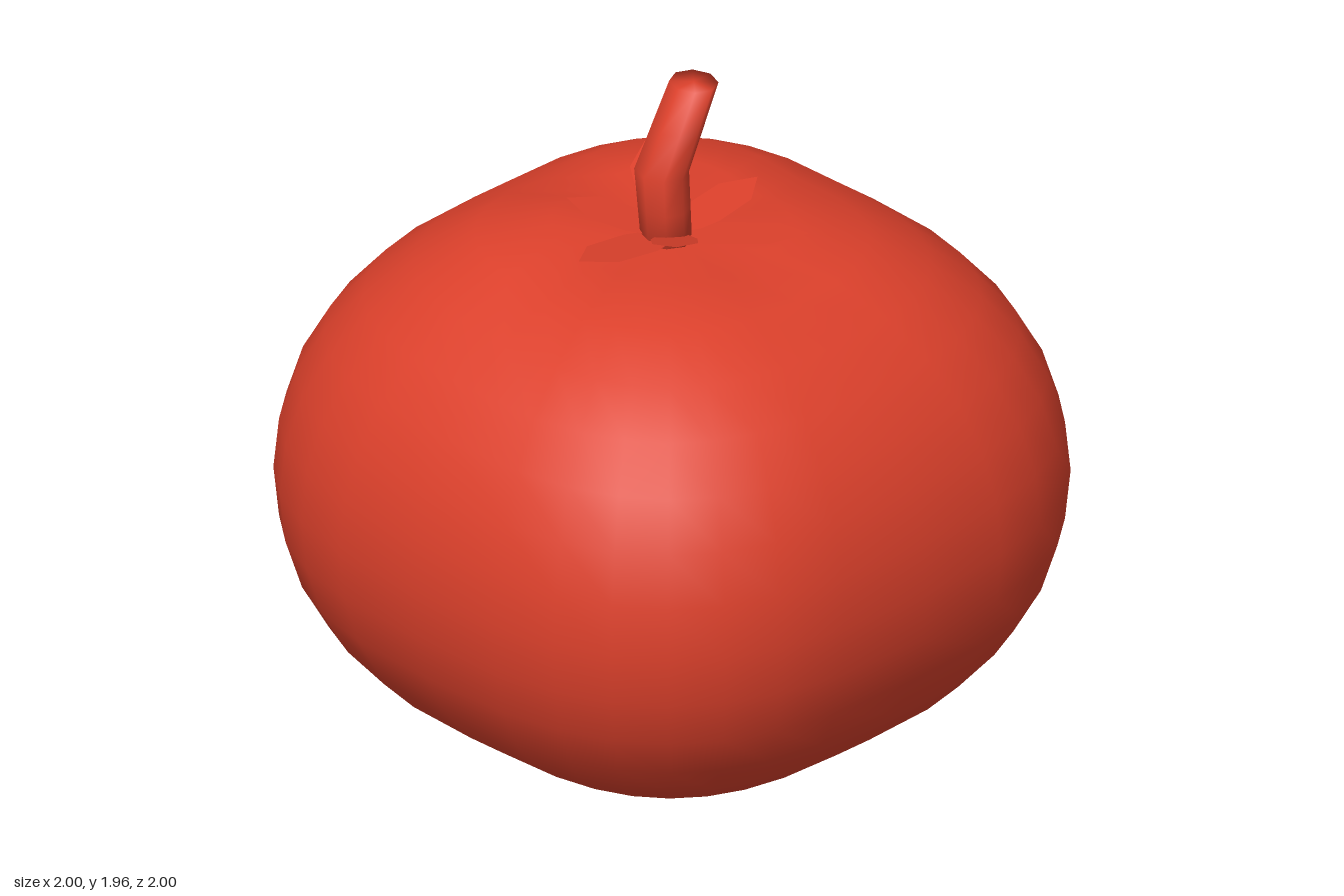
import * as THREE from 'three';
import { mergeVertices } from 'three/addons/utils/BufferGeometryUtils.js';

const red = new THREE.MeshStandardMaterial({ color: 0xdb402b });
const redThin = new THREE.MeshStandardMaterial({ color: 0xdb402b, side: THREE.DoubleSide });

function part(name, geometry, material = red) {
  const mesh = new THREE.Mesh(geometry, material);
  mesh.name = name;
  return mesh;
}

// Join all seams so that the shading runs smoothly over the whole part
function weld(geo) {
  geo.deleteAttribute('uv');
  geo.deleteAttribute('normal');
  return mergeVertices(geo, 1e-4);
}

// Squarish fruit: a squat sphere bulged towards its diagonals, dimpled on top
function fruitGeometry() {
  const geo = weld(new THREE.SphereGeometry(1, 32, 16));
  const pos = geo.attributes.position;
  const bulge = (v) => Math.sign(v) * Math.abs(v) ** 0.73;
  for (let i = 0; i < pos.count; i++) {
    const x = bulge(pos.getX(i)), z = bulge(pos.getZ(i));
    let y = 0.78 + 0.775 * pos.getY(i);
    const r = Math.hypot(x, z);
    if (pos.getY(i) > 0) {
      // Shoulders on the diagonals, slightly higher at the back
      const lobe = Math.abs(2 * x * z) / (r * r + 1e-4);
      y += (0.028 - 0.012 * Math.sign(z)) * lobe * Math.exp(-(((r - 0.42) / 0.2) ** 2));
      y -= 0.05 * Math.exp(-((r / 0.2) ** 2));
    }
    pos.setXYZ(i, x, y, z);
  }
  geo.computeVertexNormals();
  return geo;
}

// Bent stem with level ends
function stemGeometry() {
  const geo = weld(new THREE.CylinderGeometry(0.075, 0.075, 0.46, 8, 4));
  const pos = geo.attributes.position;
  for (let i = 0; i < pos.count; i++) {
    const y = pos.getY(i);
    const bend = y < 0 ? -0.04 - 0.08 * y : -0.04 + 0.54 * y;
    const squash = y > 0 ? 0.92 - 0.3 * y : 0.92;
    pos.setXYZ(i, pos.getX(i) * squash + bend, y + 1.735, pos.getZ(i) * (1.1 - 0.6 * Math.abs(y)));
  }
  geo.computeVertexNormals();
  return geo;
}

// Pointed sepal, rising from the stem foot to the given tip height
function sepalGeometry(degrees, length, tipY) {
  const shape = new THREE.Shape([
    [0.03, -0.04], [0.12, -0.065], [length * 0.74, -0.063], [length, 0],
    [length * 0.74, 0.063], [0.12, 0.065], [0.03, 0.04],
  ].map(([x, y]) => new THREE.Vector2(x, y)));
  const geo = new THREE.ShapeGeometry(shape);
  geo.rotateX(-Math.PI / 2);
  const pos = geo.attributes.position;
  for (let i = 0; i < pos.count; i++) {
    pos.setY(i, 1.52 + (tipY - 1.52) * pos.getX(i) / length);
  }
  geo.computeVertexNormals();
  geo.rotateY(-THREE.MathUtils.degToRad(degrees));
  return geo;
}

export function createModel() {
  const model = new THREE.Group();
  model.name = 'tomato';
  model.add(part('fruit', fruitGeometry()), part('stem', stemGeometry()));

  const calyx = new THREE.Group();
  calyx.name = 'calyx';
  // Direction in degrees from +x towards +z, length, tip height
  const sepals = [
    [0, 0.33, 1.57], [58, 0.39, 1.57], [132, 0.28, 1.63],
    [180, 0.36, 1.57], [239, 0.3, 1.59], [302, 0.34, 1.63],
  ];
  for (const [angle, length, tipY] of sepals) {
    calyx.add(part('sepal', sepalGeometry(angle, length, tipY), redThin));
  }
  model.add(calyx);
  return model;
}
